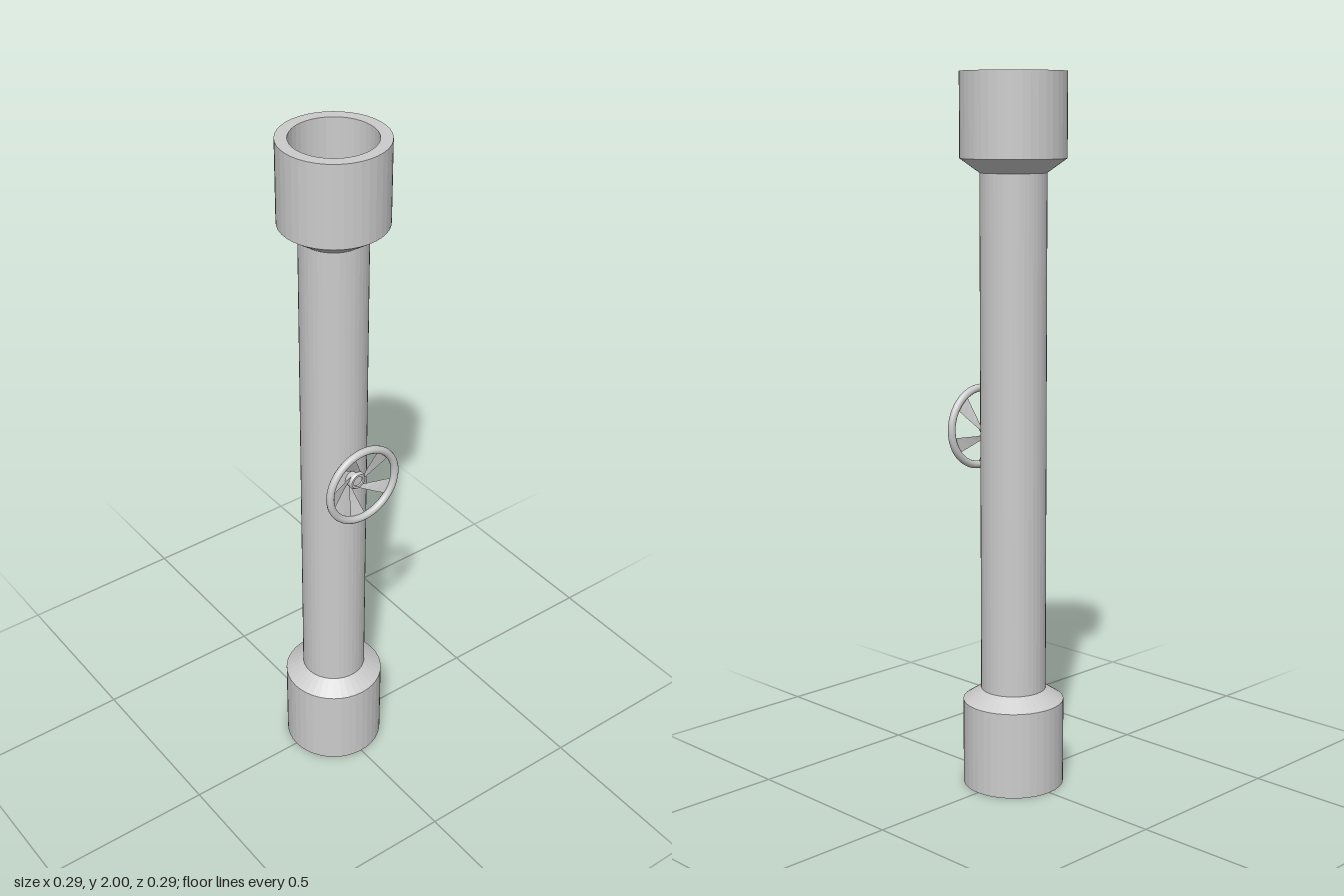
import * as THREE from 'three';

const grey = new THREE.MeshStandardMaterial({ color: 0xcccccc });
const faceted = new THREE.MeshStandardMaterial({ color: 0xcccccc, flatShading: true });
const thin = new THREE.MeshStandardMaterial({ color: 0xcccccc, flatShading: true, side: THREE.DoubleSide });

function add(parent, name, geometry, material) {
  const mesh = new THREE.Mesh(geometry, material);
  mesh.name = name;
  parent.add(mesh);
  return mesh;
}

// Surface of revolution; points run so that the outside faces outward
function lathe(points) {
  return new THREE.LatheGeometry(points.map(([r, y]) => new THREE.Vector2(r, y)), 40);
}

// Dished blade widening from the hub to the rim, swept around the axis
function bladeGeometry() {
  const steps = 4, pos = [], index = [];
  for (let i = 0; i <= steps; i++) {
    const t = i / steps;
    const r = THREE.MathUtils.lerp(0.022, 0.113, t);
    const z = THREE.MathUtils.lerp(0.1, 0.133, Math.pow(t, 0.8));
    // leading edge is a straight line tangent to the hub
    const lead = -Math.asin(Math.min(1, 0.022 / r));
    const width = THREE.MathUtils.lerp(0.5, 0.47, t);
    for (const a of [lead, lead - width]) pos.push(r * Math.cos(a), r * Math.sin(a), z);
    if (i < steps) {
      const k = i * 2;
      index.push(k, k + 2, k + 1, k + 1, k + 2, k + 3);
    }
  }
  const g = new THREE.BufferGeometry();
  g.setAttribute('position', new THREE.Float32BufferAttribute(pos, 3));
  g.setIndex(index);
  g.computeVertexNormals();
  return g;
}

export function createModel() {
  const model = new THREE.Group();
  model.name = 'pipeWithValve';

  // Straight pipe
  const pipe = add(model, 'pipe', new THREE.CylinderGeometry(0.092, 0.092, 1.5, 40, 1, true), faceted);
  pipe.position.y = 1.0;

  // Open sockets at both ends, each with a sloping shoulder and a flat floor
  add(model, 'topSocket', lathe([
    [0.09, 1.73], [0.146, 1.77], [0.146, 2], [0.114, 2], [0.114, 1.77], [0, 1.77],
  ]), faceted);
  add(model, 'bottomSocket', lathe([
    [0, 0.24], [0.114, 0.24], [0.114, 0], [0.143, 0], [0.143, 0.247], [0.09, 0.282],
  ]), faceted);

  // Hand wheel on the front
  const wheel = new THREE.Group();
  wheel.name = 'handWheel';
  wheel.position.set(0, 1.02, 0);
  model.add(wheel);

  const rim = add(wheel, 'rim', new THREE.TorusGeometry(0.11, 0.011, 12, 48), grey);
  rim.position.z = 0.133;

  // Hub with a recessed nut
  const hub = add(wheel, 'hub', lathe([
    [0.026, 0.085], [0.026, 0.108], [0.022, 0.114], [0.016, 0.114], [0.016, 0.108], [0, 0.108],
  ]), faceted);
  hub.rotation.x = Math.PI / 2;

  const blade = bladeGeometry();
  for (let i = 0; i < 5; i++) {
    add(wheel, 'blade', blade, thin).rotation.z = (i / 5) * Math.PI * 2;
  }
  return model;
}
